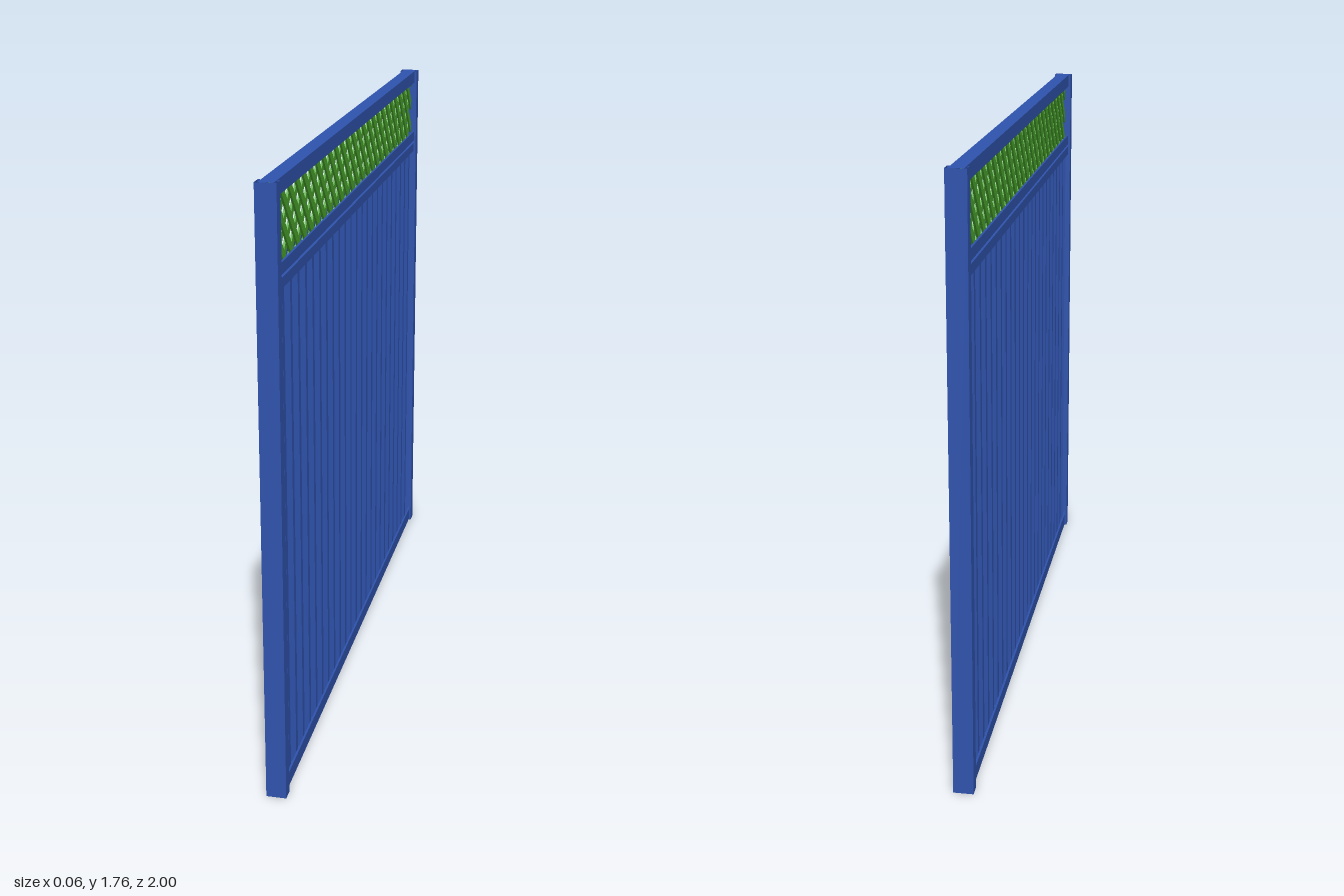
import * as THREE from 'three';

const H = 1.757;            // fence height
const PERIOD_Z = 0.0772;    // lattice repeat along the fence
const PERIOD_Y = 0.083;     // lattice repeat upwards

const blue = new THREE.MeshStandardMaterial({ color: 0x2f53ad, flatShading: true, side: THREE.DoubleSide });
const green = new THREE.MeshStandardMaterial({ color: 0x4aa52d, flatShading: true });

// Folded sheet metal: sweeps an open profile from s0 to s1; place(a, b, s) gives [x, y, z].
function foldedSheet(name, profile, s0, s1, place) {
  const pos = [], index = [];
  for (const [a, b] of profile) pos.push(...place(a, b, s0), ...place(a, b, s1));
  for (let i = 0; i < profile.length - 1; i++) {
    const k = 2 * i;
    index.push(k, k + 2, k + 1, k + 1, k + 2, k + 3);
  }
  const geo = new THREE.BufferGeometry();
  geo.setAttribute('position', new THREE.Float32BufferAttribute(pos, 3));
  geo.setIndex(index);
  const flat = geo.toNonIndexed();
  flat.computeVertexNormals();
  const mesh = new THREE.Mesh(flat, blue);
  mesh.name = name;
  return mesh;
}

const upright = (a, b, s) => [a, s, b];
const lengthwise = (a, b, s) => [a, b, s];

// C-shaped channel profile: web at b = web, flanges reaching b = open, short lips turned inwards.
const channel = (half, web, open, lip) => [
  [-half + lip, open], [-half, open], [-half, web], [half, web], [half, open], [half - lip, open],
];

// Cuts a polygon of [z, y] points at z = limit, keeping the side where sign * z is smaller.
function clip(poly, limit, sign) {
  const out = [];
  poly.forEach((p, i) => {
    const q = poly[(i + 1) % poly.length];
    const dp = sign * (limit - p[0]), dq = sign * (limit - q[0]);
    if (dp >= 0) out.push(p);
    if (dp * dq < 0) {
      const t = dp / (dp - dq);
      out.push([limit, p[1] + (q[1] - p[1]) * t]);
    }
  });
  return out;
}

// One layer of parallel slanting slats
function slatLayer(name, slope, x0, thick) {
  const y0 = 1.512, y1 = 1.745, half = 0.0165;
  const holeZ = 0.949, holeY = 1.684;   // centre of one opening
  const shapes = [];
  for (let k = -32; k <= 32; k++) {
    // Slat centre lines run midway between neighbouring openings
    const zc = holeZ + (k + 0.5) * PERIOD_Z;
    const at = (y) => zc + slope * (y - holeY) * PERIOD_Z / PERIOD_Y;
    let poly = [[at(y0) - half, y0], [at(y0) + half, y0], [at(y1) + half, y1], [at(y1) - half, y1]];
    poly = clip(clip(poly, 0.99, 1), -0.99, -1);
    if (poly.length > 2) shapes.push(new THREE.Shape(poly.map(([z, y]) => new THREE.Vector2(-z, y))));
  }
  const geo = new THREE.ExtrudeGeometry(shapes, { depth: thick, bevelEnabled: false });
  geo.rotateY(Math.PI / 2);
  geo.translate(x0, 0, 0);
  const mesh = new THREE.Mesh(geo, green);
  mesh.name = name;
  return mesh;
}

export function createModel() {
  const fence = new THREE.Group();
  fence.name = 'fencePanel';

  // End posts: upright channels that hold the rails
  for (const [side, s] of [['front', 1], ['back', -1]]) {
    fence.add(foldedSheet(side + 'Post', channel(0.029, s, s * 0.963, 0.007), 0, H, upright));
  }

  // Rails: [name, closed edge height, open edge height]
  const rails = [
    ['topRail', H, 1.716],
    ['latticeRail', 1.506, 1.539],
    ['sheetCapRail', 1.498, 1.469],
    ['bottomRail', 0, 0.043],
  ];
  for (const [name, web, open] of rails) {
    fence.add(foldedSheet(name, channel(0.021, web, open, 0.006), -0.998, 0.998, lengthwise));
  }

  // Corrugated infill sheet
  const ribs = 24, end = 0.99, pitch = 2 * end / ribs, depth = 0.009;
  const wave = [];
  for (let i = 0; i < ribs; i++) {
    [-depth, -depth, depth, depth].forEach((x, j) => wave.push([x, -end + (i + j / 4) * pitch]));
  }
  wave.push([-depth, end]);
  fence.add(foldedSheet('corrugatedSheet', wave, 0.004, 1.494, upright));

  // Lattice: two crossing layers of slats
  const lattice = new THREE.Group();
  lattice.name = 'lattice';
  lattice.add(slatLayer('risingSlats', 1, 0, 0.006), slatLayer('fallingSlats', -1, -0.006, 0.006));
  fence.add(lattice);

  return fence;
}
